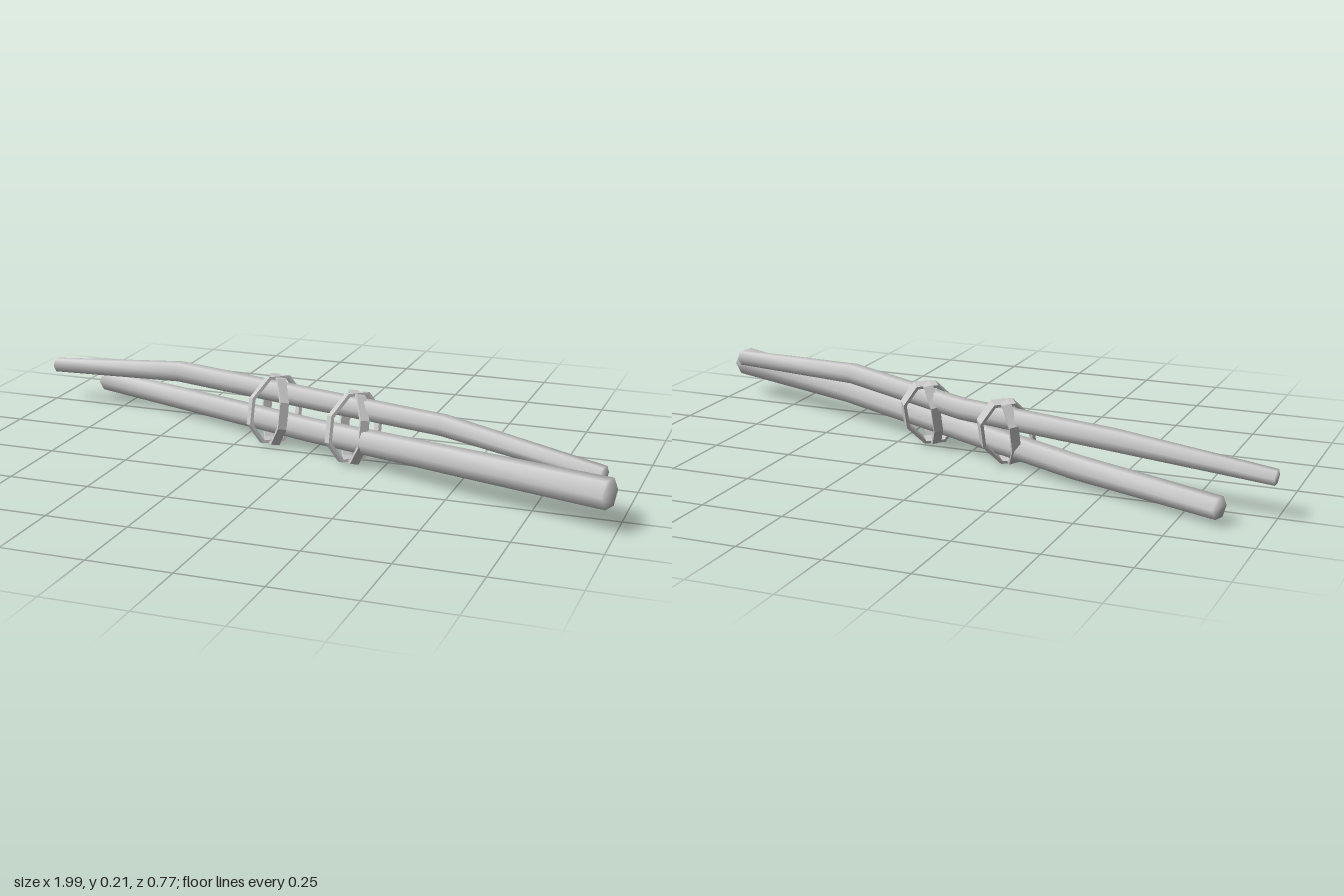
import * as THREE from 'three';

const V = (x, y, z) => new THREE.Vector3(x, y, z);

// Skins a list of equal-sized point rings; closed joins the last ring to the first, otherwise ends are capped
function skin(rings, closed) {
  const n = rings[0].length, m = rings.length, index = [];
  for (let j = 0; j < (closed ? m : m - 1); j++) {
    for (let i = 0; i < n; i++) {
      const k = (i + 1) % n, next = ((j + 1) % m) * n;
      const a = j * n + i, b = j * n + k, c = next + k, d = next + i;
      index.push(a, d, b, b, d, c);
    }
  }
  if (!closed) {
    const last = (m - 1) * n;
    for (let i = 1; i < n - 1; i++) {
      index.push(0, i, i + 1);
      index.push(last, last + i + 1, last + i);
    }
  }
  const geo = new THREE.BufferGeometry().setFromPoints(rings.flat());
  geo.setIndex(index);
  return geo;
}

// Six-sided stick along knots of [x, y, z, radius]
function stickGeometry(knots) {
  const pts = knots.map(k => V(k[0], k[1], k[2]));
  const rings = pts.map((p, j) => {
    const dir = pts[Math.min(j + 1, pts.length - 1)].clone().sub(pts[Math.max(j - 1, 0)]).normalize();
    const side = V(-dir.z, 0, dir.x).normalize();
    const up = side.clone().cross(dir);
    return Array.from({ length: 6 }, (_, i) => {
      const a = i * Math.PI / 3, r = knots[j][3];
      return p.clone().addScaledVector(side, r * Math.cos(a)).addScaledVector(up, r * Math.sin(a));
    });
  });
  const geo = skin(rings, false);
  geo.computeVertexNormals();
  return geo;
}

// Flat strap bent into an angular loop in the plane of half-axes h and v
const LOOP = [[1, -0.4], [1, 0.4], [0.4, 1], [-0.4, 1], [-1, 0.4], [-1, -0.4], [-0.4, -1], [0.4, -1]];
function strapGeometry(centre, h, v, width, thick) {
  const wide = h.clone().cross(v).normalize();
  const pts = LOOP.map(([a, b]) => centre.clone().addScaledVector(h, a).addScaledVector(v, b));
  const rings = pts.map((p, j) => {
    const t = pts[(j + 1) % 8].clone().sub(pts[(j + 7) % 8]).normalize();
    const out = t.cross(wide).normalize();
    return [[1, -1], [1, 1], [-1, 1], [-1, -1]].map(([a, b]) =>
      p.clone().addScaledVector(out, a * thick / 2).addScaledVector(wide, b * width / 2));
  });
  const geo = skin(rings, true).toNonIndexed();
  geo.computeVertexNormals();
  return geo;
}

export function createModel() {
  const group = new THREE.Group();
  const grey = new THREE.MeshStandardMaterial({ color: 0xcccccc });
  grey.name = 'pale grey';
  const add = (name, geo, parent = group) => {
    const mesh = new THREE.Mesh(geo, grey);
    mesh.name = name;
    parent.add(mesh);
  };

  // Two sticks, crossing slightly
  add('lowerStick', stickGeometry([
    [-0.865, 0.05, -0.36, 0.034],
    [-0.4, 0.057, -0.19, 0.037],
    [0, 0.071, -0.02, 0.038],
    [0.5, 0.097, 0.18, 0.042],
    [0.977, 0.111, 0.337, 0.046],
  ]));
  add('upperStick', stickGeometry([
    [-0.993, 0.12, -0.253, 0.024],
    [-0.52, 0.156, -0.205, 0.034],
    [0, 0.154, -0.07, 0.034],
    [0.45, 0.175, 0.105, 0.033],
    [0.948, 0.14, 0.272, 0.026],
  ]));

  // Two lashings, each of two crossed straps
  const lashings = [['rightLashing', V(-0.145, 0.105, -0.083)], ['leftLashing', V(0.145, 0.107, 0.01)]];
  for (const [name, centre] of lashings) {
    const lashing = new THREE.Group();
    lashing.name = name;
    const v = V(0, 0.094, -0.028);
    add('wideStrap', strapGeometry(centre, V(-0.06, 0, 0.05), v, 0.036, 0.01), lashing);
    add('narrowStrap', strapGeometry(centre, V(0.05, 0, 0.062), v, 0.028, 0.01), lashing);
    group.add(lashing);
  }
  return group;
}
